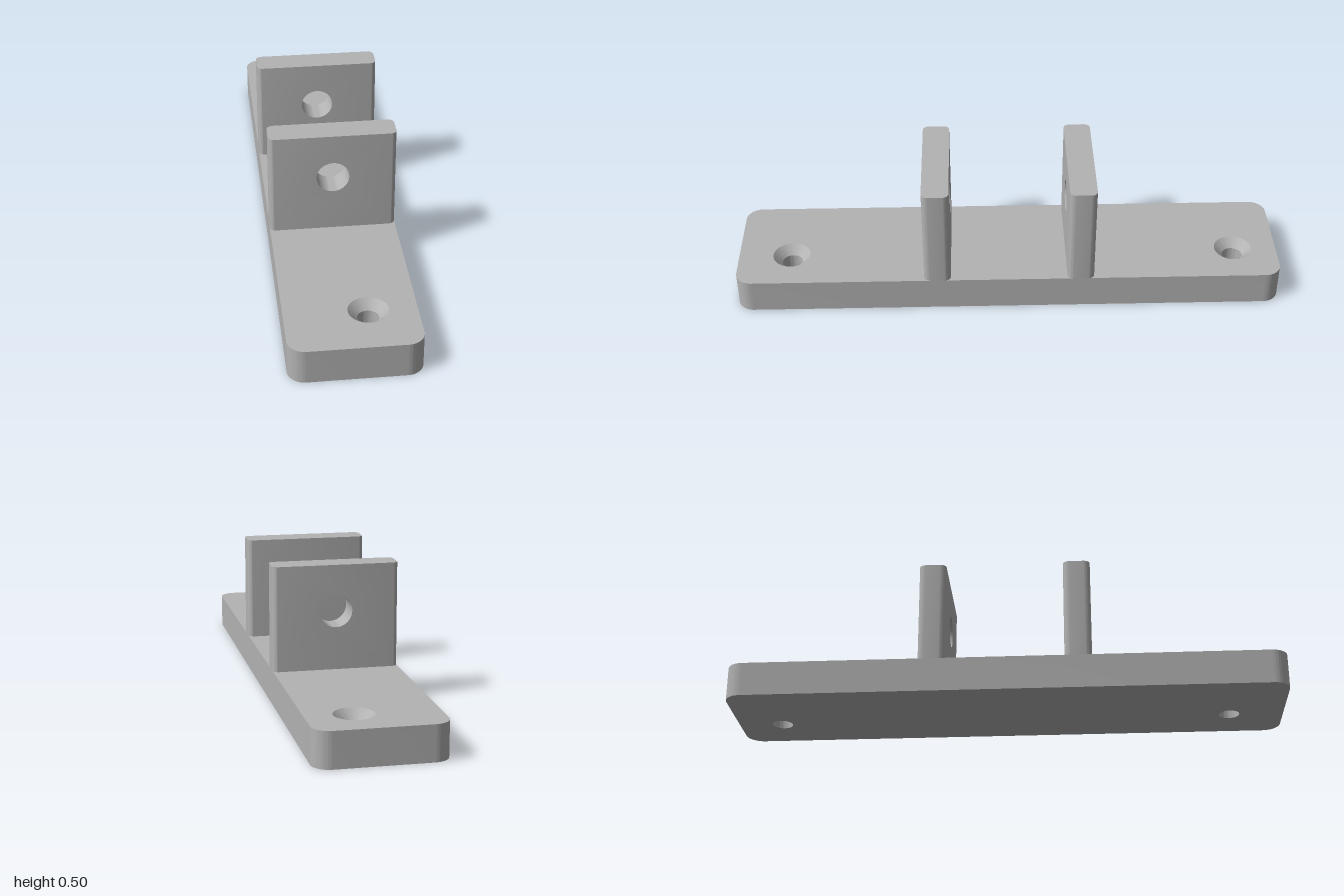
import * as THREE from 'three';
import { toCreasedNormals } from 'three/addons/utils/BufferGeometryUtils.js';

const HALF_W = 0.224, BASE_H = 0.125, TOP = 0.5;

// Rounded rectangle centred on the origin
function roundedRect(hw, hh, r) {
  const s = new THREE.Shape();
  s.absarc(hw - r, hh - r, r, 0, Math.PI / 2);
  s.absarc(-hw + r, hh - r, r, Math.PI / 2, Math.PI);
  s.absarc(-hw + r, -hh + r, r, Math.PI, Math.PI * 1.5);
  s.absarc(hw - r, -hh + r, r, Math.PI * 1.5, Math.PI * 2);
  s.closePath();
  return s;
}

function circle(x, y, r) {
  const p = new THREE.Path();
  p.absarc(x, y, r, 0, Math.PI * 2, true);
  return p;
}

// Extrude through uneven levels, then adjust every vertex by a rule
function extrudeLevels(shape, levels, rule) {
  const steps = levels.length - 1;
  const geo = new THREE.ExtrudeGeometry(shape, { depth: steps, steps, bevelEnabled: false, curveSegments: 20 });
  const pos = geo.attributes.position;
  const v = new THREE.Vector3();
  for (let i = 0; i < pos.count; i++) {
    v.fromBufferAttribute(pos, i);
    const k = Math.round(v.z);
    v.z = levels[k];
    rule(v, k);
    pos.setXYZ(i, v.x, v.y, v.z);
  }
  return geo;
}

// Base plate with two countersunk screw holes
function baseGeometry() {
  const rimR = 0.069, boreR = 0.037;
  const holes = [new THREE.Vector2(0.06, 0.84), new THREE.Vector2(0.06, -0.805)];
  const shape = roundedRect(HALF_W, 1, 0.06);
  holes.forEach(h => shape.holes.push(circle(h.x, h.y, rimR)));
  const geo = extrudeLevels(shape, [0, BASE_H - 0.032, BASE_H], (v, k) => {
    if (k === 2) return;
    for (const h of holes) {
      const dx = v.x - h.x, dy = v.y - h.y;
      if (Math.hypot(dx, dy) < rimR + 0.005) {
        v.x = h.x + dx * boreR / rimR;
        v.y = h.y + dy * boreR / rimR;
      }
    }
  });
  geo.rotateX(-Math.PI / 2);
  return toCreasedNormals(geo, 0.5);
}

// Upright lug: pin hole through z, vertical edges rounded
function lugGeometry() {
  const half = 0.049, r = 0.022, n = 6;
  const shape = new THREE.Shape([
    new THREE.Vector2(-HALF_W, BASE_H), new THREE.Vector2(HALF_W, BASE_H),
    new THREE.Vector2(HALF_W, TOP), new THREE.Vector2(-HALF_W, TOP),
  ]);
  shape.holes.push(circle(0, 0.335, 0.058));
  const levels = [], inset = [];
  for (let i = 0; i <= n; i++) {
    const a = (i / n) * Math.PI / 2;
    levels.push(-half + r * (1 - Math.sin(a)));
    inset.push(r * (1 - Math.cos(a)));
  }
  // the list above runs from the flat side to the face, so reverse it and mirror
  levels.reverse();
  inset.reverse();
  for (let i = n; i >= 0; i--) {
    levels.push(-levels[i]);
    inset.push(inset[i]);
  }
  const geo = extrudeLevels(shape, levels, (v, k) => {
    if (Math.abs(v.x) > HALF_W - 0.001) v.x = Math.sign(v.x) * (HALF_W - inset[k]);
  });
  return toCreasedNormals(geo, 0.5);
}

export function createModel() {
  const grey = new THREE.MeshStandardMaterial({ color: 0xb3b3b3 });
  grey.name = 'grey';
  const group = new THREE.Group();
  group.name = 'clevisBracket';

  const base = new THREE.Mesh(baseGeometry(), grey);
  base.name = 'basePlate';
  group.add(base);

  const lugGeo = lugGeometry();
  for (const [name, z] of [['frontLug', 0.262], ['backLug', -0.262]]) {
    const lug = new THREE.Mesh(lugGeo, grey);
    lug.name = name;
    lug.position.z = z;
    group.add(lug);
  }
  return group;
}
